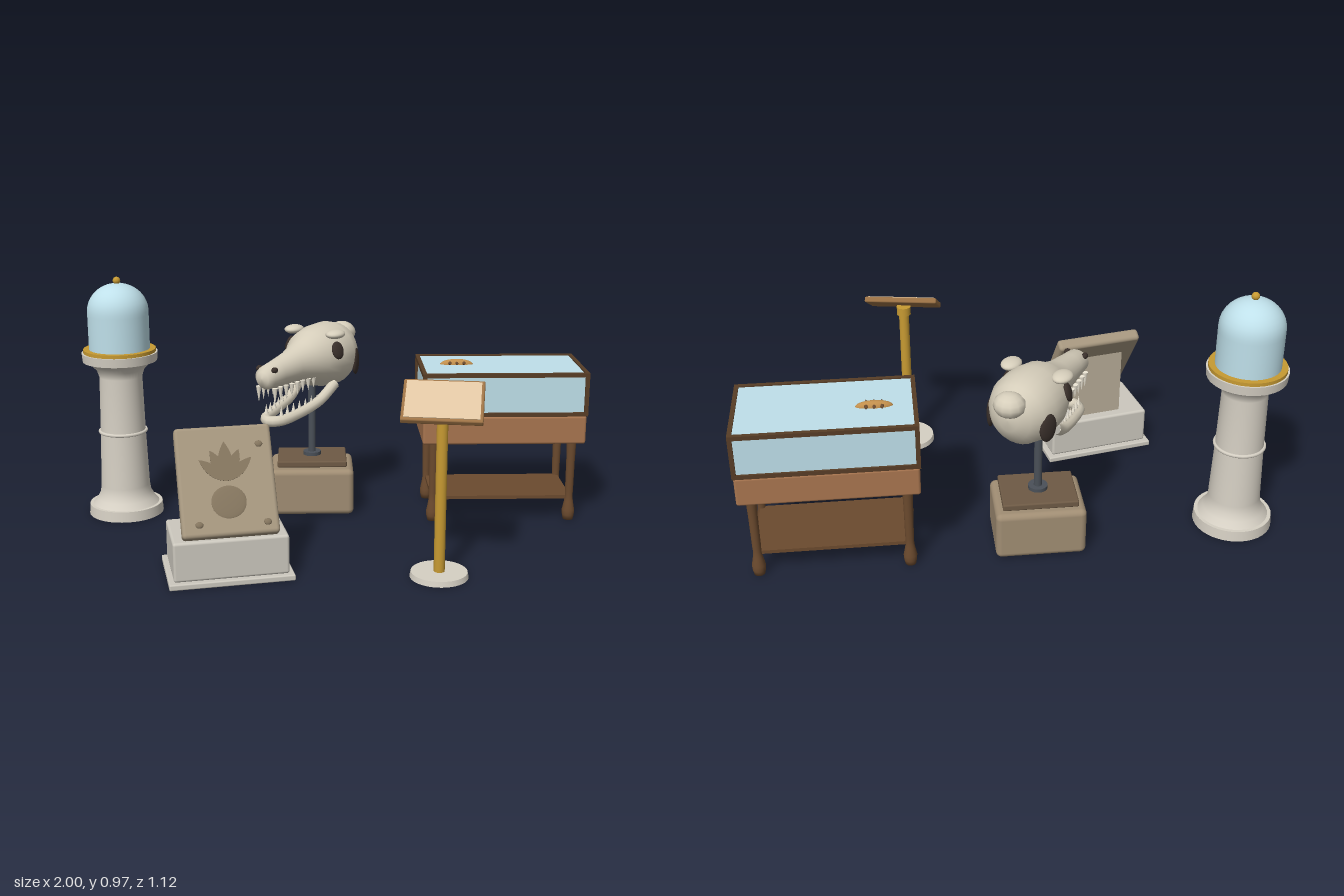
import * as THREE from 'three';
import { RoundedBoxGeometry } from 'three/addons/geometries/RoundedBoxGeometry.js';

const V3 = (x, y, z) => new THREE.Vector3(x, y, z);
const mat = (color) => new THREE.MeshStandardMaterial({ color });
const M = {
  stone: mat(0xd6d0c4), plinth: mat(0xccc8be), rock: mat(0xa5967e), wedge: mat(0xb8ad98),
  print: mat(0x84755e), brass: mat(0xc79a32), glass: mat(0xbfe0ea), bone: mat(0xd6cebb),
  tooth: mat(0xeee7d6), dark: mat(0x3a302b), steel: mat(0x4a5058), mount: mat(0xa08d73),
  plate: mat(0x6e5a45), walnut: mat(0x6b4a2e), frame: mat(0x573d26), wood: mat(0xa8754f),
  board: mat(0xdfc5a2), panel: mat(0x9c7245), fossil: mat(0xc28f4c),
};

function add(parent, name, geometry, material, x = 0, y = 0, z = 0) {
  const m = new THREE.Mesh(geometry, material);
  m.name = name;
  m.position.set(x, y, z);
  parent.add(m);
  return m;
}
function group(parent, name, x = 0, y = 0, z = 0, yaw = 0) {
  const g = new THREE.Group();
  g.name = name;
  g.position.set(x, y, z);
  g.rotation.y = yaw;
  parent.add(g);
  return g;
}
const box = (w, h, d, r = 0) => r ? new RoundedBoxGeometry(w, h, d, 3, r) : new THREE.BoxGeometry(w, h, d);
const cyl = (r1, r2, h, n = 24) => new THREE.CylinderGeometry(r1, r2, h, n);
const lathe = (pts, n = 40) => new THREE.LatheGeometry(pts.map(p => new THREE.Vector2(...p)), n);
const ball = (rx, ry, rz, n = 20) => new THREE.SphereGeometry(1, n, n * 0.7 | 0).scale(rx, ry, rz);

// Closed skin through elliptical sections [z, halfWidth, bottom, top], ordered front to back
function loft(sections, n = 28) {
  const pos = [], idx = [];
  sections.forEach(([z, w, y0, y1]) => {
    for (let j = 0; j < n; j++) {
      const t = j / n * Math.PI * 2;
      pos.push(w * Math.cos(t), (y0 + y1) / 2 + (y1 - y0) / 2 * Math.sin(t), z);
    }
  });
  for (let i = 0; i < sections.length - 1; i++) for (let j = 0; j < n; j++) {
    const a = i * n + j, b = i * n + (j + 1) % n;
    idx.push(a, a + n, b, b, a + n, b + n);
  }
  const g = new THREE.BufferGeometry();
  g.setAttribute('position', new THREE.Float32BufferAttribute(pos, 3));
  g.setIndex(idx);
  g.computeVertexNormals();
  return g;
}

// Stone column carrying a glass dome
function buildColumn(root) {
  const g = group(root, 'domeColumn', -0.85, 0, -0.285);
  add(g, 'columnFoot', cyl(0.147, 0.15, 0.042, 40), M.stone, 0, 0.021);
  add(g, 'columnShaft', lathe([[0.135, 0.04], [0.115, 0.065], [0.102, 0.09], [0.098, 0.12],
    [0.09, 0.35], [0.085, 0.57], [0.095, 0.6], [0.115, 0.62], [0.14, 0.64]]), M.stone);
  add(g, 'columnBand', new THREE.TorusGeometry(0.092, 0.007, 8, 40).rotateX(Math.PI / 2), M.stone, 0, 0.345);
  add(g, 'columnCapital', cyl(0.15, 0.147, 0.035, 40), M.stone, 0, 0.653);
  add(g, 'brassRing', cyl(0.143, 0.143, 0.014, 40), M.brass, 0, 0.677);
  const dome = [[0.12, 0.68], [0.12, 0.82]];
  for (let i = 0; i <= 9; i++) {
    const t = i / 9 * Math.PI / 2;
    dome.push([0.12 * Math.cos(t), 0.835 + 0.11 * Math.sin(t)]);
  }
  add(g, 'glassDome', lathe(dome), M.glass);
  add(g, 'domeKnob', ball(0.015, 0.015, 0.015, 16), M.brass, 0, 0.955);
}

// Footprint slab leaning on a plinth
function buildSlab(root) {
  const g = group(root, 'footprintExhibit', -0.396, 0, 0.369, 0.2);
  add(g, 'plinthBase', box(0.448, 0.022, 0.3, 0.005), M.plinth, 0, 0.011);
  add(g, 'plinth', box(0.412, 0.146, 0.262, 0.01), M.plinth, 0, 0.094);
  const tri = new THREE.Shape([[-0.09, 0], [0.08, 0], [-0.09, 0.275]].map(p => new THREE.Vector2(...p)));
  add(g, 'slabSupport', new THREE.ExtrudeGeometry(tri, { depth: 0.2, bevelEnabled: false })
    .translate(0, 0, -0.1).rotateY(-Math.PI / 2), M.wedge, 0, 0.165);
  const slab = group(g, 'slab', 0, 0.345, 0.02);
  slab.rotation.x = -0.56;
  add(slab, 'rockSlab', box(0.345, 0.4, 0.05, 0.014), M.rock);
  add(slab, 'heelPrint', ball(0.064, 0.06, 0.006), M.print, 0, -0.08, 0.024);
  // Toes fan out from the heel as pointed leaves
  for (const [a, len, w] of [[0, 0.145, 0.026], [0.42, 0.125, 0.022], [-0.42, 0.125, 0.022], [0.85, 0.125, 0.02], [-0.85, 0.125, 0.02]]) {
    const s = new THREE.Shape();
    s.moveTo(0, 0);
    s.quadraticCurveTo(w * 2, len * 0.45, 0, len);
    s.quadraticCurveTo(-w * 2, len * 0.45, 0, 0);
    const toe = add(slab, 'toePrint', new THREE.ExtrudeGeometry(s, { depth: 0.003, bevelEnabled: false }),
      M.print, 0, -0.005, 0.0245);
    toe.rotation.z = a;
  }
  for (const [x, y] of [[-0.11, -0.155], [0.13, -0.16], [0.125, 0.125]])
    add(slab, 'pebble', ball(0.014, 0.012, 0.006, 12), M.print, x, y, 0.025);
}

// Toothed skull on a post
function buildSkull(root) {
  const g = group(root, 'skullExhibit', -0.085, 0, -0.32);
  add(g, 'mountBlock', box(0.335, 0.19, 0.255, 0.022), M.mount, 0, 0.1);
  add(g, 'mountPlate', box(0.28, 0.026, 0.205, 0.006), M.plate, 0, 0.213);
  add(g, 'postFlange', cyl(0.036, 0.036, 0.014), M.steel, 0, 0.235);
  add(g, 'post', cyl(0.015, 0.015, 0.32), M.steel, 0, 0.39);

  const s = group(g, 'skull', 0, 0, 0, -0.6);
  add(s, 'cranium', loft([[0.34, 0, 0.61, 0.615], [0.335, 0.028, 0.58, 0.64], [0.315, 0.048, 0.568, 0.658],
    [0.25, 0.052, 0.562, 0.67], [0.15, 0.062, 0.558, 0.69], [0.08, 0.08, 0.545, 0.715], [0.03, 0.108, 0.525, 0.745],
    [-0.04, 0.13, 0.508, 0.76], [-0.12, 0.13, 0.503, 0.763], [-0.175, 0.11, 0.52, 0.75],
    [-0.215, 0.075, 0.555, 0.725], [-0.235, 0.035, 0.6, 0.69], [-0.24, 0, 0.645, 0.65]]), M.bone);
  add(s, 'skullCrest', ball(0.058, 0.045, 0.055, 12), M.bone, 0, 0.702, -0.225);
  const jaw = [[0.085, 0.53, -0.04], [0.07, 0.475, 0.05], [0.055, 0.447, 0.18], [0.035, 0.437, 0.27]];
  const path = [...jaw, [0, 0.435, 0.295], ...jaw.map(([x, y, z]) => [-x, y, z]).reverse()];
  add(s, 'lowerJaw', new THREE.TubeGeometry(new THREE.CatmullRomCurve3(path.map(p => V3(...p))), 48, 0.021, 10), M.bone);
  for (const k of [-1, 1]) {
    add(s, 'brow', ball(0.036, 0.018, 0.046), M.bone, k * 0.1, 0.737, -0.022);
    const eye = add(s, 'eyeSocket', ball(0.012, 0.036, 0.029), M.dark, k * 0.118, 0.675, -0.012);
    eye.rotation.set(0, -k * 0.25, k * 0.3);
    const gap = add(s, 'sideOpening', ball(0.014, 0.055, 0.036), M.dark, k * 0.112, 0.605, -0.155);
    gap.rotation.y = k * 0.4;
    add(s, 'nostril', ball(0.012, 0.012, 0.016, 12), M.dark, k * 0.036, 0.645, 0.305);
    // Upper teeth hang down, lower teeth stand on the jaw
    for (let i = 0; i < 8; i++) {
      const z = 0.07 + i * 0.034, h = 0.045 + 0.02 * (i / 7);
      const up = new THREE.ConeGeometry(0.011, h, 8).rotateX(Math.PI);
      add(s, 'upperTooth', up, M.tooth, k * (0.056 - i * 0.0025), 0.575 - h / 2, z);
      if (i < 7) add(s, 'lowerTooth', new THREE.ConeGeometry(0.009, 0.042, 8), M.tooth,
        k * (0.066 - i * 0.005), 0.485 - i * 0.002, z - 0.01);
    }
  }
}

// Glazed table case on turned legs
function buildCase(root) {
  const g = group(root, 'displayCase', 0.673, 0, -0.285);
  add(g, 'caseBody', box(0.645, 0.115, 0.358, 0.01), M.wood, 0, 0.383);
  add(g, 'caseGlass', box(0.632, 0.166, 0.346), M.glass, 0, 0.525);
  const X = 0.318, Z = 0.173, b = 0.016;
  for (const y of [0.447, 0.605]) for (const k of [-1, 1]) {
    add(g, 'longRail', box(2 * X + b, b, b), M.frame, 0, y, k * Z);
    add(g, 'shortRail', box(b, b, 2 * Z - b), M.frame, k * X, y, 0);
  }
  for (const i of [-1, 1]) for (const k of [-1, 1]) {
    add(g, 'cornerPost', box(b, 0.142, b), M.frame, i * X, 0.526, k * Z);
    add(g, 'turnedLeg', lathe([[0, 0], [0.02, 0], [0.024, 0.02], [0.025, 0.04], [0.018, 0.075], [0.015, 0.1],
      [0.016, 0.12], [0.017, 0.25], [0.019, 0.325]], 20), M.walnut, i * 0.275, 0, k * 0.138);
  }
  add(g, 'lowerShelf', box(0.56, 0.014, 0.28), M.walnut, 0, 0.093);

  // Small arched specimen with spines
  const f = group(g, 'specimen', -0.174, 0.605, -0.017);
  add(f, 'specimenBody', ball(0.068, 0.024, 0.02), M.fossil);
  for (let i = -1; i <= 1; i++) for (const k of [-1, 1])
    add(f, 'specimenSpine', new THREE.ConeGeometry(0.008, 0.022, 8).rotateX(k * Math.PI / 2),
      M.walnut, i * 0.028, 0.009, k * 0.024);
}

// Tilted reading board on a brass post
function buildSign(root) {
  const g = group(root, 'readingStand', 0.365, 0, 0.44, -0.16);
  add(g, 'standFoot', cyl(0.102, 0.106, 0.02, 40), M.stone, 0, 0.01);
  add(g, 'standPost', cyl(0.02, 0.02, 0.61), M.brass, 0, 0.32);
  add(g, 'standCollar', cyl(0.028, 0.028, 0.034), M.brass, 0, 0.61);
  const p = group(g, 'readingBoard', 0, 0.645, 0);
  p.rotation.x = 0.54;
  add(p, 'boardFrame', box(0.284, 0.022, 0.2, 0.006), M.panel);
  add(p, 'boardFace', box(0.262, 0.006, 0.178), M.board, 0, 0.0105);
}

export function createModel() {
  const root = new THREE.Group();
  root.name = 'museumDisplay';
  [buildColumn, buildSlab, buildSkull, buildCase, buildSign].forEach(build => build(root));
  return root;
}
